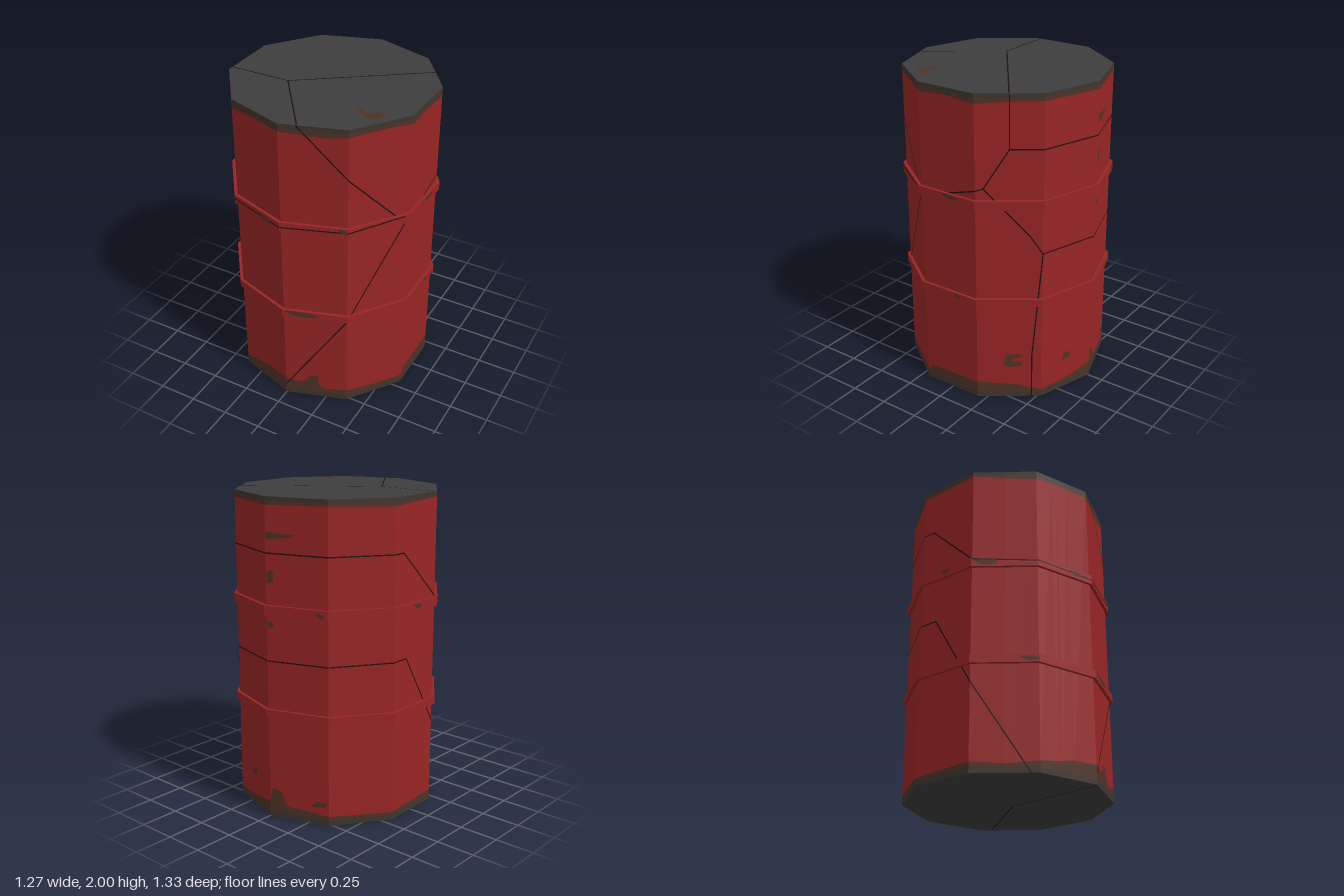
import * as THREE from 'three';

const SIDES = 10, R = 0.645, RING_R = 0.665, H = 2;

const mat = (name, color, side = THREE.FrontSide) =>
  Object.assign(new THREE.MeshStandardMaterial({ color, side, flatShading: true }), { name });

// Point on the ten-sided wall: u counts facets round from the front corner.
function wallPoint(u, y, r = R) {
  const k = Math.floor(u), f = u - k;
  const corner = (i) => {
    const a = (i / SIDES) * Math.PI * 2;
    return new THREE.Vector3(Math.sin(a) * r, y, Math.cos(a) * r);
  };
  return corner(k).lerp(corner(k + 1), f);
}

// Geometry from a list of four-cornered faces
function quads(list) {
  const pts = [];
  for (const [a, b, c, d] of list) pts.push(a, b, c, a, c, d);
  const g = new THREE.BufferGeometry().setFromPoints(pts);
  g.computeVertexNormals();
  return g;
}

// Piecewise-linear height of a ragged edge
function heightAt(profile, u) {
  for (let i = 1; i < profile.length; i++) {
    const [u0, h0] = profile[i - 1], [u1, h1] = profile[i];
    if (u <= u1) return h0 + ((h1 - h0) * (u - u0)) / (u1 - u0);
  }
  return profile[profile.length - 1][1];
}

// Upper limit of the bottom rust and lower limit of the top rust
const BOTTOM = [
  [0, 0.12], [0.25, 0.11], [0.34, 0.12], [0.38, 0.17], [0.52, 0.17], [0.54, 0.1], [0.66, 0.07],
  [1, 0.08], [1.5, 0.06], [2, 0.06], [2.1, 0.1], [3, 0.11], [3.6, 0.09], [4, 0.05], [4.5, 0.06],
  [5, 0.1], [5.05, 0.19], [5.2, 0.17], [5.3, 0.08], [5.7, 0.07], [6, 0.06], [7, 0.05],
  [8, 0.07], [8.5, 0.055], [9, 0.07], [9.3, 0.09], [9.6, 0.115], [10, 0.12]];
const TOP = [
  [0, 1.95], [0.4, 1.94], [0.7, 1.935], [1, 1.95], [1.6, 1.955], [2, 1.945], [2.5, 1.955],
  [3, 1.94], [3.4, 1.95], [4, 1.955], [5, 1.95], [6, 1.96], [7, 1.95], [7.6, 1.96],
  [8, 1.97], [8.5, 1.95], [9, 1.94], [9.4, 1.955], [10, 1.95]];
const STEPS = [...new Set([...BOTTOM, ...TOP].map((p) => p[0]))].sort((a, b) => a - b);

// One coloured layer of the wall between two height rules
function wallLayer(low, high) {
  const list = [];
  for (let i = 1; i < STEPS.length; i++) {
    const a = STEPS[i - 1], b = STEPS[i];
    list.push([wallPoint(a, low(a)), wallPoint(b, low(b)), wallPoint(b, high(b)), wallPoint(a, high(a))]);
  }
  return quads(list);
}

// Thin line between two surface points, lying on the face with the given normal
function strip(a, b, normal, width = 0.008) {
  const side = new THREE.Vector3().crossVectors(normal, b.clone().sub(a)).setLength(width / 2);
  return [a.clone().sub(side), b.clone().sub(side), b.clone().add(side), a.clone().add(side)];
}

// Crack along the wall, folded over every corner it crosses
function wallCrack(path, r = R) {
  const list = [];
  for (let i = 1; i < path.length; i++) {
    const [u0, y0] = path[i - 1], [u1, y1] = path[i];
    const cuts = [0];
    for (let k = Math.floor(Math.min(u0, u1)) + 1; k < Math.max(u0, u1); k++) cuts.push((k - u0) / (u1 - u0));
    cuts.push(1);
    cuts.sort((a, b) => a - b);
    for (let j = 1; j < cuts.length; j++) {
      const at = (t) => wallPoint(u0 + (u1 - u0) * t, y0 + (y1 - y0) * t, r + 0.002);
      const mid = u0 + ((u1 - u0) * (cuts[j - 1] + cuts[j])) / 2;
      const ang = ((Math.floor(mid) + 0.5) / SIDES) * Math.PI * 2;
      list.push(strip(at(cuts[j - 1]), at(cuts[j]), new THREE.Vector3(Math.sin(ang), 0, Math.cos(ang))));
    }
  }
  return quads(list);
}

// Flat rust patch inside one facet, outlined in (u, y)
function patch(outline, r = R) {
  const g = new THREE.ShapeGeometry(new THREE.Shape(outline.map(([u, y]) => new THREE.Vector2(u, y))));
  const p = g.attributes.position;
  for (let i = 0; i < p.count; i++) {
    const v = wallPoint(p.getX(i), p.getY(i), r + 0.003);
    p.setXYZ(i, v.x, v.y, v.z);
  }
  g.computeVertexNormals();
  return g;
}

export function createModel() {
  const red = mat('red paint', 0x982525);
  const grey = mat('dark metal', 0x3d3d3d);
  const rust = mat('rust', 0x4f3226, THREE.DoubleSide);
  const grime = mat('grimy edge', 0x3e352e);
  const seam = mat('crack', 0x1e1111, THREE.DoubleSide);
  const group = new THREE.Group();
  group.name = 'barrel';
  const add = (name, geometry, material) => {
    const m = new THREE.Mesh(geometry, material);
    m.name = name;
    group.add(m);
    return m;
  };

  // Wall, from the grimy foot up to the grimy rim
  const bottom = (u) => heightAt(BOTTOM, u), top = (u) => heightAt(TOP, u);
  add('bottomEdge', wallLayer(() => 0, () => 0.035), grime);
  add('bottomRust', wallLayer(() => 0.035, bottom), rust);
  add('wall', wallLayer(bottom, top), red);
  add('topRust', wallLayer(top, () => 1.975), rust);
  add('topEdge', wallLayer(() => 1.975, () => H), grime);

  // Lid and base
  for (const [name, y, turn] of [['lid', H, -1], ['base', 0, 1]]) {
    const m = add(name, new THREE.CircleGeometry(R, SIDES, Math.PI / 2), grey);
    m.rotation.x = (turn * Math.PI) / 2;
    m.position.y = y;
  }

  // Two raised hoops
  for (const [name, y0, y1] of [['lowerHoop', 0.66, 0.71], ['upperHoop', 1.3, 1.36]]) {
    add(name, new THREE.CylinderGeometry(RING_R, RING_R, y1 - y0, SIDES), red).position.y = (y0 + y1) / 2;
  }

  // Rust spots on the hoops: start, end, bottom, top
  for (const [a, b, y0, y1] of [
    [8.03, 8.4, 1.31, 1.345], [9.55, 9.8, 1.315, 1.345], [0.85, 0.99, 1.325, 1.358], [2.38, 2.72, 1.33, 1.358],
    [0.03, 0.55, 0.67, 0.706], [2.6, 2.72, 0.675, 0.705], [8.7, 8.99, 0.67, 0.7], [5.8, 5.95, 1.31, 1.34], [7.4, 7.6, 1.32, 1.35]]) {
    const w = b - a;
    add('hoopRust', patch([[a, y1], [a + w * 0.2, y0 + 0.012], [a + w * 0.5, y0], [b, y0 + 0.006], [b - w * 0.08, y1 - 0.006], [a + w * 0.5, y1]], RING_R), rust);
  }

  // Rust spots on the wall
  for (const outline of [
    [[3.41, 0.24], [3.5, 0.22], [3.7, 0.23], [3.7, 0.26], [3.55, 0.26], [3.55, 0.285], [3.7, 0.29], [3.66, 0.315], [3.45, 0.31]],
    [[5.02, 1.75], [5.4, 1.77], [5.48, 1.785], [5.2, 1.79], [5.02, 1.8]],
    [[5.02, 1.49], [5.12, 1.5], [5.12, 1.57], [5.02, 1.56]],
    [[5.02, 1.22], [5.12, 1.23], [5.1, 1.26], [5.02, 1.26]],
    [[5.7, 0.11], [5.95, 0.12], [5.97, 0.15], [5.8, 0.15]],
    [[4.4, 0.2], [4.55, 0.21], [4.6, 0.25], [4.45, 0.25]]]) add('wallRust', patch(outline), rust);

  // Cracks round the wall
  for (const path of [
    [[0.26, 2], [1, 1.68], [1.94, 1.29], [1, 0.66], [0, 0.07]],
    [[1.94, 1.29], [3.12, 1.43], [3.5, 1.67], [3.5, 2]],
    [[3.12, 1.43], [3.8, 1.13], [4, 1.01], [7.3, 1.02], [8, 0.55], [8.87, 0]],
    [[3.5, 1.67], [7.2, 1.67], [8, 1.36]],
    [[4, 1.01], [3.85, 0.3], [3.85, 0]]]) add('wallCrack', wallCrack(path), seam);
  add('hoopCrack', wallCrack([[8, 1.352], [9, 1.335], [10, 1.327], [11, 1.335], [11.9, 1.35]], RING_R), seam);

  // Cracks and rust stain on the lid and base
  const up = new THREE.Vector3(0, 1, 0);
  const flat = (x0, z0, x1, z1, y) => strip(new THREE.Vector3(x0, y, z0), new THREE.Vector3(x1, y, z1), up);
  const ly = H - 0.001 + 0.003;
  add('lidCrack', quads([
    flat(-0.61, 0.165, -0.22, 0.165, ly), flat(-0.22, 0.165, 0.1, 0.605, ly), flat(-0.22, 0.165, 0.5, -0.36, ly)]), seam);
  add('baseCrack', quads([flat(0, 0.64, 0.05, 0, -0.002), flat(0.05, 0, 0.42, -0.46, -0.002)]), seam);
  const stain = [[0.3, 0.26], [0.39, 0.3], [0.43, 0.26], [0.48, 0.26], [0.46, 0.34], [0.4, 0.36], [0.33, 0.32]];
  const spot = add('lidRust', new THREE.ShapeGeometry(new THREE.Shape(stain.map(([x, z]) => new THREE.Vector2(x, -z)))), rust);
  spot.rotation.x = -Math.PI / 2;
  spot.position.y = ly;

  return group;
}
